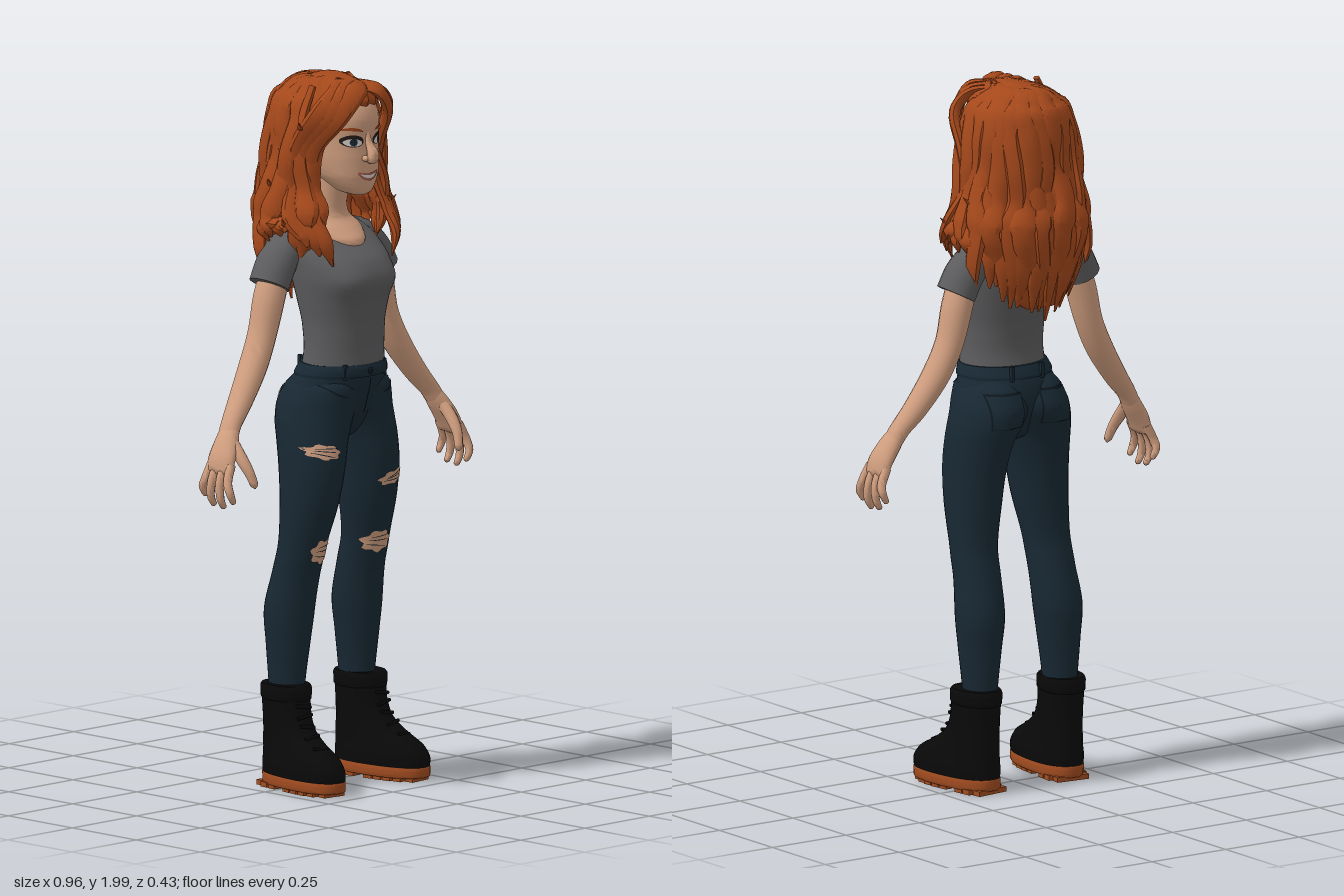
import * as THREE from 'three';
import { toCreasedNormals } from 'three/addons/utils/BufferGeometryUtils.js';

const mat = (name, color) => Object.assign(new THREE.MeshStandardMaterial({ color }), { name });
const V = (x, y, z) => new THREE.Vector3(x, y, z);

// Smooth closed body through rows of [x, y, z, radiusA, radiusB]; B follows ref, flat keeps slices level.
function sweep(rows, { ref = V(0, 0, 1), flat = false, n = 16, power = 1, ripple = null, crease = 0.9 } = {}) {
  const path = new THREE.CatmullRomCurve3(rows.map(r => V(r[0], r[1], r[2])));
  const radii = new THREE.CatmullRomCurve3(rows.map(r => V(r[3], r[4], 0)));
  const steps = (rows.length - 1) * 5, pos = [], idx = [];
  const bend = v => Math.sign(v) * Math.abs(v) ** power;
  for (let i = 0; i <= steps; i++) {
    const t = i / steps, c = path.getPoint(t), r = radii.getPoint(t);
    const T = flat ? V(0, 1, 0) : path.getTangent(t);
    const B = ref.clone().addScaledVector(T, -ref.dot(T)).normalize(), A = B.clone().cross(T);
    for (let j = 0; j < n; j++) {
      const a = j / n * Math.PI * 2, k = ripple ? ripple(a, t) : 1;
      pos.push(...c.clone().addScaledVector(A, bend(Math.cos(a)) * Math.max(r.x, 0.0005) * k)
        .addScaledVector(B, bend(Math.sin(a)) * Math.max(r.y, 0.0005) * k).toArray());
      if (i < steps) {
        const p = i * n + j, q = i * n + (j + 1) % n;
        idx.push(p, q, p + n, q, q + n, p + n);
      }
    }
  }
  const end = steps * n, m = pos.length / 3;
  pos.push(...path.getPoint(0).toArray(), ...path.getPoint(1).toArray());
  for (let j = 0; j < n; j++) {
    const k = (j + 1) % n;
    idx.push(m, k, j, m + 1, end + j, end + k);
  }
  // Turn the faces outward
  const P = i => V(pos[i * 3], pos[i * 3 + 1], pos[i * 3 + 2]);
  let volume = 0;
  for (let i = 0; i < idx.length; i += 3) volume += P(idx[i]).dot(P(idx[i + 1]).cross(P(idx[i + 2])));
  if (volume < 0) idx.reverse();
  const g = new THREE.BufferGeometry();
  g.setAttribute('position', new THREE.Float32BufferAttribute(pos, 3));
  g.setIndex(idx);
  return toCreasedNormals(g, crease);
}

// Level slices given as [y, centreX, halfWidth, zFront, zBack]
const stack = (rows, o = {}) =>
  sweep(rows.map(([y, x, w, f, b]) => [x, y, (f + b) / 2, w, (f - b) / 2]), { flat: true, n: 28, ...o });

export function createModel() {
  const root = new THREE.Group();
  root.name = 'woman';
  const skin = mat('skin', 0xd09e7f), hair = mat('hair', 0xa4481b), shirt = mat('shirt', 0x5d5c5e),
    denim = mat('denim', 0x182833), seam = mat('darkDenim', 0x0f1920), leather = mat('bootLeather', 0x090909),
    sole = mat('bootSole', 0xa14c20), white = mat('eyeWhite', 0xd8d2cc), dark = mat('lash', 0x241a18), lip = mat('lip', 0xa8604f);
  const add = (name, g, m) => {
    const mesh = new THREE.Mesh(g, m);
    mesh.name = name;
    root.add(mesh);
    return mesh;
  };
  const ball = (name, m, x, y, z, a, b, c) => add(name, new THREE.SphereGeometry(1, 20, 14).scale(a, b, c).translate(x, y, z), m);
  let seed = 7;
  const rnd = () => (seed = (seed * 16807) % 2147483647) / 2147483647;

  // Thin patch laid on the surface of the target meshes, seen along z
  const caster = new THREE.Raycaster();
  function decal(name, targets, m, x, y, rx, ry, { dir = 1, rot = 0, rag = 0, lift = 0.003, square = false, curve = 0 } = {}) {
    const g = new THREE.RingGeometry(0.005, 1, 32, 5), p = g.attributes.position;
    let last = 0;
    for (let i = 0; i < p.count; i++) {
      let u = p.getX(i), v = p.getY(i);
      const a = Math.atan2(v, u);
      const k = (square ? 1 / Math.max(Math.abs(Math.cos(a)), Math.abs(Math.sin(a))) : 1) * (1 + rag * Math.sin(7 * a));
      u *= k * rx; v = v * k * ry + curve * u * u;
      const X = x + dir * (u * Math.cos(rot) - v * Math.sin(rot)), Y = y + u * Math.sin(rot) + v * Math.cos(rot);
      caster.set(V(X, Y, dir * 2), V(0, 0, -dir));
      const hit = caster.intersectObjects(targets, false)[0];
      if (hit) last = hit.point.z;
      p.setXYZ(i, X, Y, last + dir * lift);
    }
    g.computeVertexNormals();
    return add(name, g, m);
  }

  // Shirt body, fuller at the bust
  const bust = (a, t) => 1 + .1 * Math.exp(-(((t - .44) / .1) ** 2)) *
    (Math.exp(-(((a - 1.05) / .38) ** 2)) + Math.exp(-(((a - 2.09) / .38) ** 2)));
  add('shirtBody', stack([[1.17, 0, .126, .157, -.05], [1.23, 0, .122, .156, -.042], [1.3, 0, .124, .16, -.05],
    [1.37, 0, .136, .17, -.068], [1.43, 0, .146, .18, -.085], [1.48, 0, .15, .158, -.094], [1.525, 0, .147, .1, -.096],
    [1.555, 0, .125, .06, -.092], [1.58, 0, .09, .03, -.086], [1.592, 0, .055, .01, -.075]], { n: 48, ripple: bust, crease: 1.2 }), shirt);

  // Neck and open neckline
  add('neck', stack([[1.5, 0, .05, .11, -.04], [1.53, 0, .078, .111, -.06], [1.56, 0, .09, .08, -.07],
    [1.59, 0, .066, .05, -.07], [1.63, 0, .05, .05, -.06], [1.72, 0, .05, .07, -.05]]), skin);

  // Jeans
  const pelvis = add('jeansHips', stack([[1.185, 0, .127, .157, -.052], [1.13, 0, .147, .15, -.076], [1.07, 0, .16, .133, -.08],
    [1.02, 0, .12, .112, -.058], [.985, 0, .05, .085, -.035], [.972, 0, .02, .06, -.01]], { crease: 1.2 }), denim);
  add('waistband', stack([[1.155, 0, .14, .159, -.071], [1.16, 0, .141, .161, -.071], [1.185, 0, .131, .161, -.058], [1.19, 0, .128, .158, -.055]]), denim);
  const legs = [1, -1].map(s => add('jeansLeg', stack([[1.17, .02, .11, .11, -.03], [1.125, -.02, .15, .143, -.078], [1.07, -.035, .171, .139, -.101],
    [1.02, -.014, .181, .136, -.094], [.975, .005, .185, .138, -.08],
    [.9, .022, .188, .139, -.064], [.8, .036, .19, .122, -.052], [.67, .058, .189, .084, -.053], [.6, .061, .191, .066, -.072],
    [.5, .064, .199, .05, -.097], [.4, .076, .192, .038, -.092], [.3, .088, .183, .026, -.085], [.22, .09, .18, .02, -.08]]
    .map(([y, i, o, f, b]) => [y, s * (i + o) / 2, (o - i) / 2, f, b]), { crease: 1.2 }), denim));
  const jeans = [pelvis, ...legs];
  decal('flySeam', jeans, seam, .006, 1.1, .0025, .05, { square: true });
  ball('waistButton', seam, 0, 1.172, .161, .009, .009, .005);
  for (const s of [1, -1]) {
    decal('frontPocketSeam', jeans, seam, s * .105, 1.115, .038, .003, { rot: s * .55, curve: 5 });
    decal('backPocketSeam', jeans, seam, s * .082, 1.075, .051, .049, { dir: -1, square: true, lift: .003 });
    decal('backPocket', jeans, denim, s * .082, 1.073, .048, .045, { dir: -1, square: true, lift: .006 });
    for (const [x, z] of [[.075, .137], [.05, -.063]])
      add('beltLoop', new THREE.BoxGeometry(.01, .042, .012).translate(s * x, 1.172, z), denim);
  }
  // Ripped openings with threads
  for (const [x, y, w, h, r] of [[-.14, .955, .04, .02, -.15], [-.11, .667, .04, .034, 0], [.12, .855, .048, .019, .2], [.11, .668, .042, .03, 0]]) {
    decal('jeansRip', legs, skin, x, y, w, h, { rot: r, rag: .12, lift: .003 });
    for (const k of [-.4, .1, .5]) decal('ripThread', legs, denim, x + k * .01, y + k * h, w * .7, .0013, { rot: r + k * .3, lift: .005 });
  }

  for (const s of [1, -1]) {
    // Sleeve and arm
    add('sleeve', sweep([[s * .08, 1.535, -.028, .035, .05], [s * .14, 1.513, -.027, .046, .057], [s * .183, 1.47, -.024, .053, .06],
      [s * .212, 1.415, -.022, .054, .06]]), shirt);
    add('arm', sweep([[s * .185, 1.46, -.022, .04, .045], [s * .21, 1.38, -.024, .042, .047], [s * .237, 1.28, -.025, .038, .043],
      [s * .275, 1.2, -.02, .037, .043], [s * .34, 1.105, -.008, .031, .037], [s * .385, 1.05, .003, .025, .032], [s * .4, 1.025, .008, .024, .032]]), skin);
    // Hand: palm, four fingers, thumb
    add('palm', sweep([[s * .385, 1.05, .003, .02, .026], [s * .41, 1.01, .012, .025, .038], [s * .437, .965, .02, .023, .047],
      [s * .45, .93, .023, .016, .046], [s * .453, .922, .023, .008, .038]]), skin);
    [[.06, .08, .845], [.036, .042, .828], [.009, .004, .832], [-.014, -.028, .855]].forEach(([z0, z1, y], i) =>
      add('finger' + (i + 1), sweep([[s * .442, .95, z0, .013, .013], [s * .463, .905, z0 * .6 + z1 * .4, .0125, .0125],
        [s * .465, y + .03, z1, .011, .011], [s * .452, y + .004, z1, .008, .008], [s * .45, y, z1, .002, .002]], { n: 10 }), skin));
    add('thumb', sweep([[s * .408, 1.01, .03, .016, .018], [s * .41, .965, .07, .017, .017], [s * .405, .93, .094, .014, .014],
      [s * .397, .895, .106, .011, .011], [s * .395, .885, .107, .002, .002]], { n: 10 }), skin);

    // Boot, turned slightly outward
    const boot = new THREE.Group();
    boot.name = 'boot';
    const put = (name, g, m) => boot.add(add(name, g, m));
    put('bootUpper', stack([[.03, 0, .067, .206, -.098], [.06, 0, .069, .21, -.1], [.095, 0, .064, .188, -.099], [.13, 0, .058, .125, -.098],
      [.165, 0, .054, .078, -.096], [.21, 0, .054, .057, -.097], [.275, 0, .056, .05, -.1], [.285, 0, .054, .047, -.098]], { power: .85 }), leather);
    put('bootCollar', stack([[.245, 0, .054, .05, -.098], [.252, 0, .06, .055, -.103], [.28, 0, .061, .056, -.104], [.29, 0, .057, .05, -.099]], { power: .9 }), leather);
    put('bootSole', stack([[.01, 0, .065, .205, -.098], [.013, 0, .068, .209, -.1], [.038, 0, .069, .21, -.101], [.042, 0, .067, .206, -.099]],
      { power: .85, crease: .6 }), sole);
    for (let i = 0; i < 9; i++) {
      const z = -.08 + i * .032, w = i > 5 ? [.116, .102, .07][i - 6] : i ? .12 : .1;
      if (i !== 3) put('soleLug', new THREE.BoxGeometry(w, .014, .027).translate(0, .007, z), sole);
    }
    for (let i = 0; i < 5; i++) {
      const y = .125 + i * .027, z = [.13, .091, .071, .06, .054][i];
      put('bootLace', new THREE.CylinderGeometry(.005, .005, .05, 8).rotateZ(Math.PI / 2 + (i % 2 ? .15 : -.15)).translate(0, y, z), leather);
    }
    boot.position.x = s * .147;
    boot.rotation.y = s * .11;
    root.add(boot);
  }

  // Head and face
  const head = add('head', stack([[1.662, 0, .02, .135, .09], [1.671, 0, .044, .148, .05], [1.69, 0, .064, .152, .02], [1.72, 0, .086, .155, -.03],
    [1.77, 0, .101, .153, -.08], [1.815, 0, .105, .151, -.11], [1.87, 0, .104, .157, -.12], [1.92, 0, .09, .14, -.11],
    [1.955, 0, .055, .08, -.07], [1.968, 0, .02, .03, -.02]], { power: .94, crease: 1.2 }), skin);
  add('nose', sweep([[0, 1.84, .143, .008, .01], [0, 1.805, .157, .01, .011], [0, 1.78, .171, .016, .017], [0, 1.768, .17, .017, .015], [0, 1.758, .156, .008, .008]], { crease: 1.4 }), skin);
  for (const s of [1, -1]) {
    const x = s * .047;
    ball('nostril', skin, s * .014, 1.768, .157, .01, .009, .012);
    decal('lashes', [head], dark, x, 1.818, .03, .017, { rot: s * .1, lift: .002 });
    decal('eyeWhite', [head], white, x, 1.814, .024, .0105, { rot: s * .1, lift: .0035 });
    decal('iris', [head], denim, x, 1.815, .01, .01, { lift: .005 });
    decal('eyebrow', [head], hair, x + s * .003, 1.852, .028, .0045, { rot: s * .1, curve: -6 });
  }
  decal('lips', [head], lip, 0, 1.715, .038, .011, { curve: 9 });
  decal('teeth', [head], white, 0, 1.716, .029, .0045, { curve: 9, lift: .005 });

  // Hair mass with strand ridges
  add('hairMass', stack([[1.988, .01, .02, .03, -.03], [1.978, 0, .05, .085, -.066], [1.95, 0, .088, .14, -.1], [1.925, 0, .108, .149, -.122],
    [1.895, 0, .124, .128, -.138], [1.85, 0, .134, .06, -.148], [1.75, 0, .136, .035, -.15], [1.65, 0, .142, .0, -.168],
    [1.56, 0, .14, -.05, -.178], [1.47, 0, .115, -.09, -.168], [1.39, 0, .08, -.105, -.15], [1.37, 0, .05, -.115, -.14]],
  { n: 72, ripple: (a, t) => 1 + .025 * Math.sin(18 * a + 5 * Math.sin(t * 6)), crease: .5 }), hair);

  // Locks falling from the parting, front to back on each side
  const levels = [[1.968, .055, .08], [1.935, .1, .113], [1.87, .137, .138], [1.77, .15, .142], [1.68, .163, .156], [1.6, .18, .172]];
  for (const s of [1, -1]) for (let i = 0; i < 17; i++) {
    const f = i / 16, phi = (56 + 122 * f) * Math.PI / 180, layer = i % 2 ? .009 : -.005, phase = rnd() * 6;
    const tip = (f < .15 ? 1.5 : f < .4 ? 1.57 - .1 * f : 1.48 - .12 * f) + (rnd() - .5) * .06, w = .022 + rnd() * .014;
    const rows = [[s * .006 + .015, 1.97, .08 - .13 * f, .006, .014]];
    levels.forEach(([y, rx, rz], k) => {
      const p = phi + .09 * Math.sin(phase + k * 1.6), o = layer * Math.min(1, k / 2) + (k > 2 ? .011 * Math.sin(phase + k * 2) : 0);
      rows.push([s * (rx + o) * Math.sin(p), y, -.02 + (rz + o) * Math.cos(p), k ? .016 : .011, w * (k ? 1 : .8)]);
    });
    const mid = (1.6 + tip) / 2, out = f > .15 && f < .5 ? .205 : .168;
    rows.push([s * out * Math.sin(phi), mid, -.025 + .158 * Math.cos(phi), .014, w * .85]);
    rows.push([s * (out - .01) * Math.sin(phi + .05), tip, -.02 + .125 * Math.cos(phi), .002, .004]);
    add('hairLock', sweep(rows, { ref: V(s * Math.cos(phi), 0, -Math.sin(phi)), n: 8, crease: .7 }), hair);
  }
  // Fringe swept off the forehead and face-framing locks
  for (const s of [1, -1]) for (let i = 0; i < 3; i++) {
    const d = i * .018, lift = s < 0 ? .009 : 0;
    add('fringeLock', sweep([[.02, 1.968 - d * .1, .1 - d * 2.2, .008, .02], [s * (.048 + d * .8), 1.95 + lift - d * .2, .143 + lift - d * 1.2, .015, .03],
      [s * (.096 + d + lift), 1.89 + d * .3, .13 + lift - d, .016, .028], [s * (.126 + d * .6 + lift * .8), 1.8, .072 - d, .016, .027],
      [s * (.126 + d * .6), 1.7, .055 - d, .016, .026], [s * (.145 + d * 1.2), 1.61, .078 - d, .017, .028],
      [s * (.138 + d), 1.54 + d * .5, .12 - d, .015, .024], [s * (.115 + d * 1.8), 1.475 + d * 1.6, .13 - d, .002, .003]],
    { ref: V(s * .55, .3, -.6), n: 8, crease: .7 }), hair);
  }
  // Loose wisps
  for (const [x, y, z] of [[-.19, 1.87, .05], [-.225, 1.6, .02], [.22, 1.61, .02], [.2, 1.68, -.06], [-.2, 1.7, -.06]])
    add('hairWisp', sweep([[x * .6, y + .1, z, .008, .012], [x * .78, y + .03, z, .011, .014], [x * .9, y - .01, z + .01, .008, .01], [x, y + .01, z + .02, .001, .001]], { n: 6 }), hair);

  return root;
}
